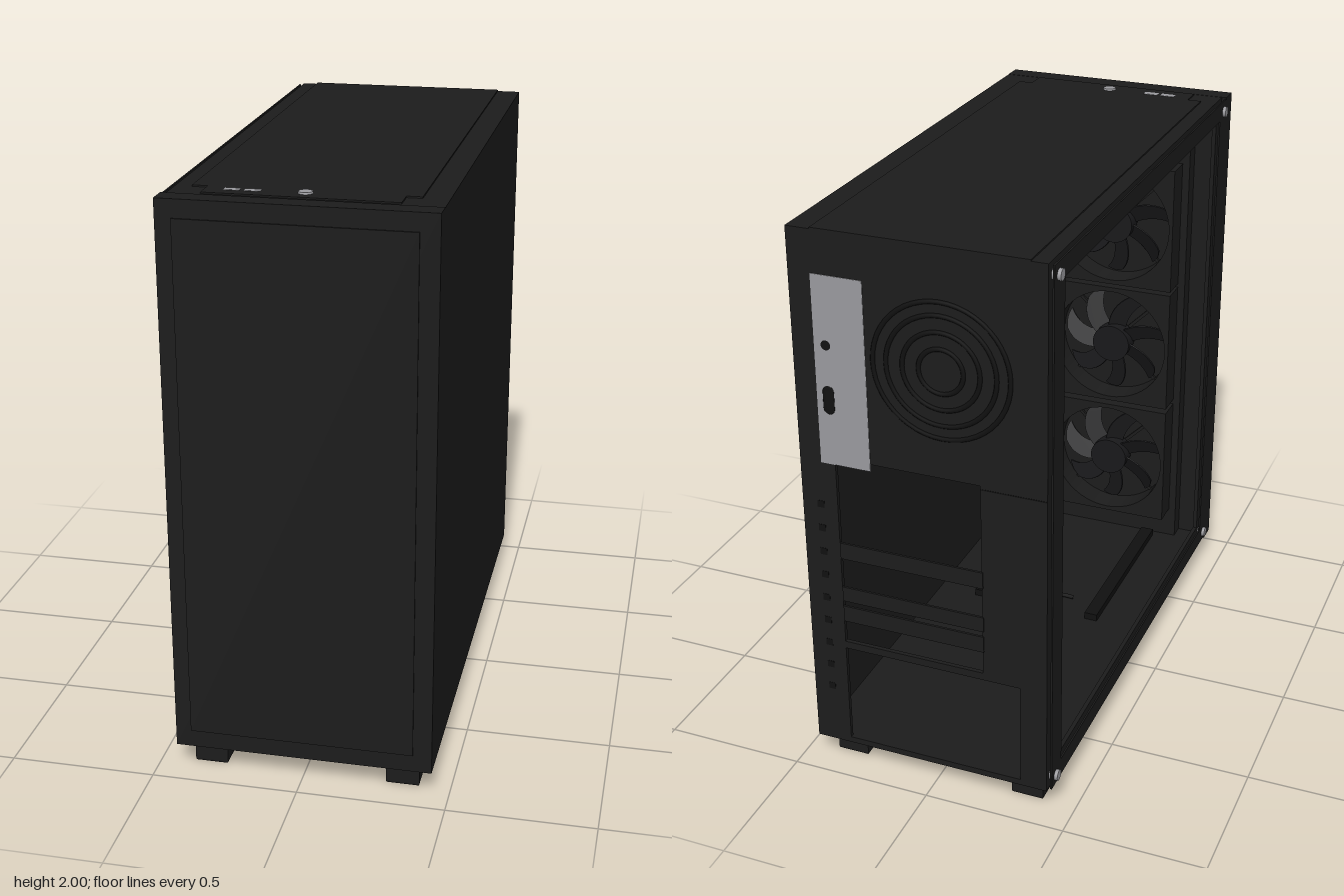
import * as THREE from 'three';

const mat = (name, color) => {
  const m = new THREE.MeshStandardMaterial({ color });
  m.name = name;
  return m;
};

export function createModel() {
  const root = new THREE.Group();
  root.name = 'computerCase';
  const black = mat('caseBlack', 0x1c1c1c);
  const seam = mat('seamBlack', 0x101010);
  const fanBlack = mat('fanBlack', 0x19191b);
  const silver = mat('silver', 0x9a9a9e);
  const grey = mat('cableGrey', 0x777777);

  const add = (name, geo, material, parent = root) => {
    const m = new THREE.Mesh(geo, material);
    m.name = name;
    parent.add(m);
    return m;
  };
  // Box given by its limits on each axis
  const box = (name, [x0, x1], [y0, y1], [z0, z1], material = black) => {
    const m = add(name, new THREE.BoxGeometry(x1 - x0, y1 - y0, z1 - z0), material);
    m.position.set((x0 + x1) / 2, (y0 + y1) / 2, (z0 + z1) / 2);
    return m;
  };
  const poly = (pts) => new THREE.Shape(pts.map(([x, y]) => new THREE.Vector2(x, y)));
  const rect = (a, b, c, d) => poly([[a, c], [b, c], [b, d], [a, d]]);
  const plate = (outer, holes, depth) => {
    outer.holes.push(...holes);
    return new THREE.ExtrudeGeometry(outer, { depth, bevelEnabled: false, curveSegments: 24 });
  };

  // Closed panels of the shell
  box('bottomPanel', [-0.415, 0.443], [0.088, 0.108], [-0.92, 0.86]);
  box('topPanel', [-0.415, 0.443], [1.967, 1.989], [-0.93, 0.86]);
  box('rightPanel', [0.428, 0.443], [0.092, 1.989], [-0.925, 0.86]);
  box('frontBezel', [-0.433, 0.443], [0.088, 1.99], [0.86, 0.931]);
  box('frontPlate', [-0.38, 0.38], [0.15, 1.93], [0.931, 0.936]);

  // Top cover with a front tongue around the controls
  const lid = add('topCover', plate(poly([[-0.36, -0.93], [0.36, -0.93], [0.36, 0.77], [0.31, 0.77],
    [0.31, 0.85], [-0.31, 0.85], [-0.31, 0.77], [-0.36, 0.77]]), [], 0.006), black);
  lid.rotation.x = Math.PI / 2;
  lid.position.y = 1.994;
  const button = add('powerButton', new THREE.CylinderGeometry(0.022, 0.025, 0.01, 24), silver);
  button.position.set(0.005, 1.995, 0.795);
  [-0.225, -0.16].forEach((x) => box('frontPort', [x - 0.026, x + 0.026], [1.99, 1.995], [0.782, 0.808], silver));

  // Open left side: chassis frame and outer side frame
  [['leftChassisFrame', -0.4, 0.015, 0.8], ['sideFrame', -0.427, 0.006, 0.785]].forEach(([n, x, d, zf]) => {
    const f = add(n, plate(rect(-0.928, 0.86, 0.1, 1.985), [rect(-0.84, zf, 0.165, 1.92)], d), black);
    f.rotation.y = -Math.PI / 2;
    f.position.x = x;
  });
  for (const y of [0.135, 1.945]) for (const z of [-0.89, 0.83]) {
    const s = add('thumbScrew', new THREE.CylinderGeometry(0.019, 0.019, 0.03, 20), silver);
    s.rotation.z = Math.PI / 2;
    s.position.set(-0.43, y, z);
  }

  // Back panel with expansion and power supply openings
  const back = add('backPanel', plate(rect(-0.415, 0.443, 0.088, 1.989),
    [rect(-0.19, 0.316, 0.51, 1.215), rect(-0.32, 0.316, 0.11, 0.483)], 0.015), black);
  back.position.z = -0.93;
  [[0.84, 0.9], [0.675, 0.73], [0.595, 0.655]].forEach((y) =>
    box('expansionSlat', [-0.195, 0.314], y, [-0.934, -0.926]));
  box('backSeam', [-0.415, -0.19], [1.2, 1.204], [-0.931, -0.929], seam);
  for (let i = 0; i < 9; i++) {
    box('backVent', [0.365, 0.39], [0.3 + i * 0.09, 0.325 + i * 0.09], [-0.931, -0.929], seam);
  }
  // Connector shield
  box('connectorShield', [0.19, 0.366], [1.19, 1.845], [-0.932, -0.926], silver);
  const port = add('roundPort', new THREE.CircleGeometry(0.017, 20), seam);
  port.rotation.y = Math.PI;
  port.position.set(0.325, 1.61, -0.933);
  const slot = add('ovalPort', new THREE.CapsuleGeometry(0.02, 0.06, 4, 12), seam);
  slot.scale.z = 0.1;
  slot.position.set(0.325, 1.42, -0.932);
  // Exhaust grille rings
  const grille = new THREE.Group();
  grille.name = 'exhaustGrille';
  grille.position.set(-0.065, 1.585, -0.93);
  root.add(grille);
  [0.075, 0.13, 0.185, 0.23].forEach((r) => {
    const t = add('grilleRing', new THREE.TorusGeometry(r, 0.008, 6, 48), seam, grille);
    t.scale.z = 0.5;
  });

  // Feet
  for (const [x, z] of [[-0.325, 0.795], [0.338, 0.795], [-0.325, -0.787], [0.338, -0.787]]) {
    const foot = add('foot', new THREE.ExtrudeGeometry(rect(-0.047, 0.047, -0.079, 0.079),
      { depth: 0.07, bevelSize: 0.01, bevelThickness: 0.01, bevelSegments: 3 }), black);
    foot.rotation.x = -Math.PI / 2;
    foot.position.set(x, 0.01, z);
  }

  // Rails on the floor
  [-0.21, 0.25].forEach((x) => box('floorRail', [x - 0.025, x + 0.025], [0.108, 0.135], [0.07, 0.77], seam));

  // Three intake fans behind the front panel
  const circle = new THREE.Path().absarc(0, 0, 0.228, 0, Math.PI * 2, true);
  const frameGeo = plate(rect(-0.242, 0.242, -0.245, 0.245), [circle], 0.1);
  const blade = new THREE.Shape();
  blade.moveTo(0.06, -0.035);
  blade.quadraticCurveTo(0.15, -0.05, 0.2, 0.02);
  blade.quadraticCurveTo(0.215, 0.07, 0.195, 0.105);
  blade.quadraticCurveTo(0.15, 0.03, 0.06, 0.035);
  const bladeGeo = new THREE.ExtrudeGeometry(blade, { depth: 0.006, bevelEnabled: false, curveSegments: 8 });
  bladeGeo.rotateX(0.5);
  const hubGeo = new THREE.CylinderGeometry(0.075, 0.075, 0.07, 32).rotateX(Math.PI / 2);
  [0.475, 0.985, 1.49].forEach((y) => {
    const fan = new THREE.Group();
    fan.name = 'intakeFan';
    fan.position.set(-0.05, y, 0.7);
    root.add(fan);
    add('fanFrame', frameGeo, black, fan);
    add('fanHub', hubGeo, fanBlack, fan).position.z = 0.045;
    for (let i = 0; i < 7; i++) {
      const b = add('fanBlade', bladeGeo, fanBlack, fan);
      b.rotation.z = (i * Math.PI * 2) / 7;
      b.position.z = 0.045;
    }
    for (let i = 0; i < 4; i++) {
      const strut = add('fanStrut', new THREE.BoxGeometry(0.23, 0.012, 0.01), black, fan);
      const a = Math.PI / 4 + (i * Math.PI) / 2;
      strut.position.set(Math.cos(a) * 0.12, Math.sin(a) * 0.12, 0.092);
      strut.rotation.z = a;
    }
  });
  box('fanMount', [-0.32, 0.3], [0.108, 1.967], [0.8, 0.86]);

  // Loose cables
  const cable = (name, pts, r, m) => add(name, new THREE.TubeGeometry(
    new THREE.CatmullRomCurve3(pts.map((p) => new THREE.Vector3(...p))), 40, r, 8), m);
  cable('greyCable', [[0.32, 0.74, 0.24], [0.3, 0.69, 0.25], [0.25, 0.3, 0.18], [0.2, 0.2, 0.16], [0.11, 0.12, 0.1]], 0.012, grey);
  for (let i = 0; i < 3; i++) {
    const k = i * 0.04;
    cable('blackCable', [[0.22, 0.72 + k, 0.69], [0.23 - k, 0.45, 0.6 - k],
      [0.18, 0.25, 0.35 + k], [0.1, 0.13, 0.12 + k], [0.06 - 2 * k, 0.118, 0.02 + 2 * k]], 0.008, seam);
  }
  return root;
}
